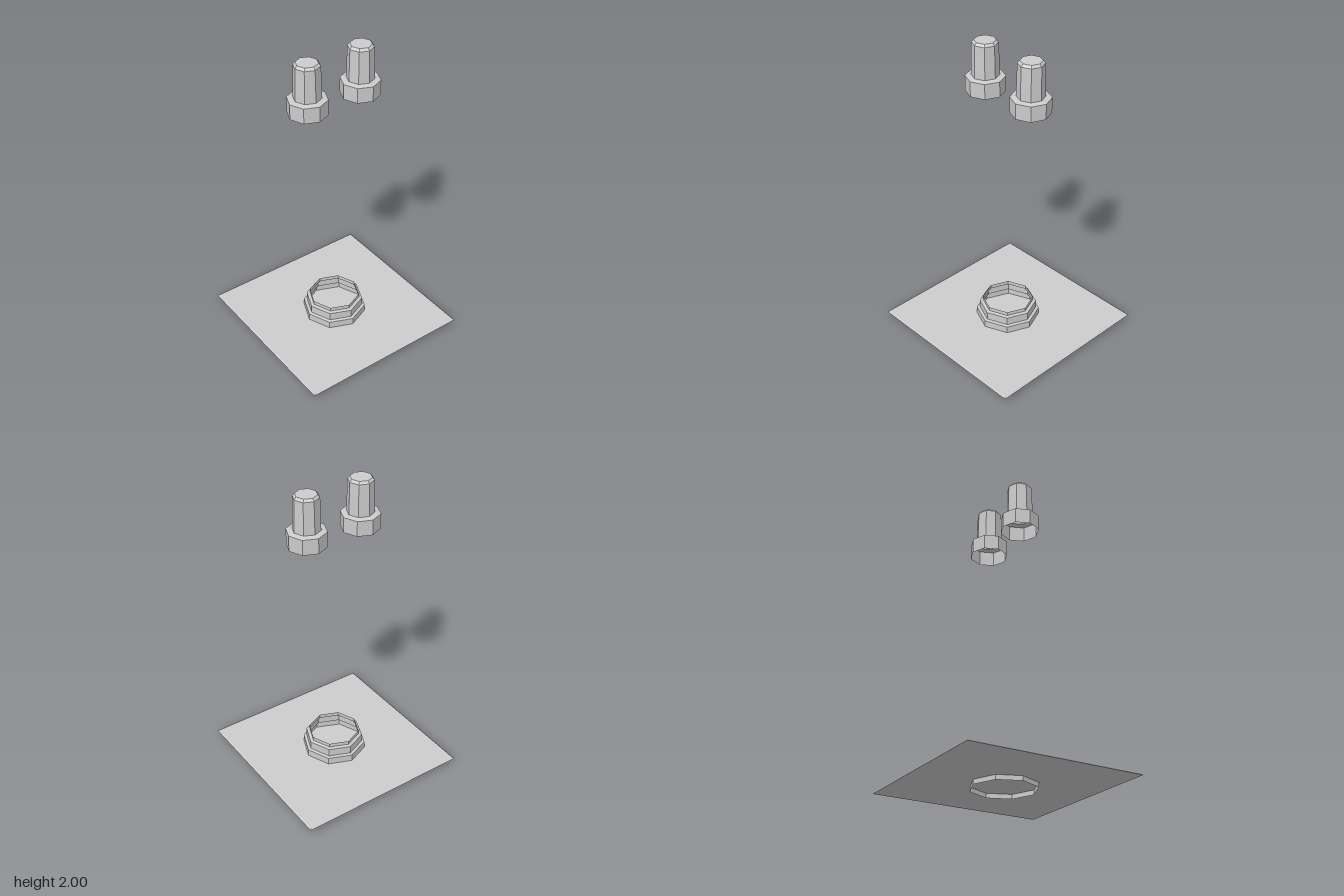
import * as THREE from 'three';

export function createModel() {
  const model = new THREE.Group();
  const grey = new THREE.MeshStandardMaterial({
    color: 0xcccccc, flatShading: true, side: THREE.DoubleSide,
  });
  grey.name = 'lightGrey';

  // Eight-sided thin shell turned from a [radius, height] profile
  const octagonShell = (name, profile) => {
    const points = profile.map(([r, y]) => new THREE.Vector2(r, y));
    const mesh = new THREE.Mesh(new THREE.LatheGeometry(points, 8), grey);
    mesh.name = name;
    model.add(mesh);
    return mesh;
  };

  // Thin square plate with a narrow bevelled border
  const plateGeometry = new THREE.CylinderGeometry(0.573 * Math.SQRT2, 0.582 * Math.SQRT2, 0.007, 4);
  plateGeometry.rotateY(Math.PI / 4);
  const plate = new THREE.Mesh(plateGeometry, grey);
  plate.name = 'basePlate';
  plate.position.y = 0.0335;
  model.add(plate);

  // Stepped open collar passing through the plate
  octagonShell('steppedCollar', [
    [0.21, 0], [0.21, 0.085],
    [0.19, 0.09], [0.19, 0.145],
    [0.168, 0.15], [0.168, 0.177],
  ]);

  // Pair of hollow caps: wide skirt, tapered stem, bevelled top
  for (const [side, name] of [[-1, 'rightCap'], [1, 'leftCap']]) {
    octagonShell(name, [
      [0.125, 1.665], [0.125, 1.766],
      [0.087, 1.773], [0.082, 1.984],
      [0.068, 2], [0, 2],
    ]).position.x = side * 0.194;
  }

  return model;
}
